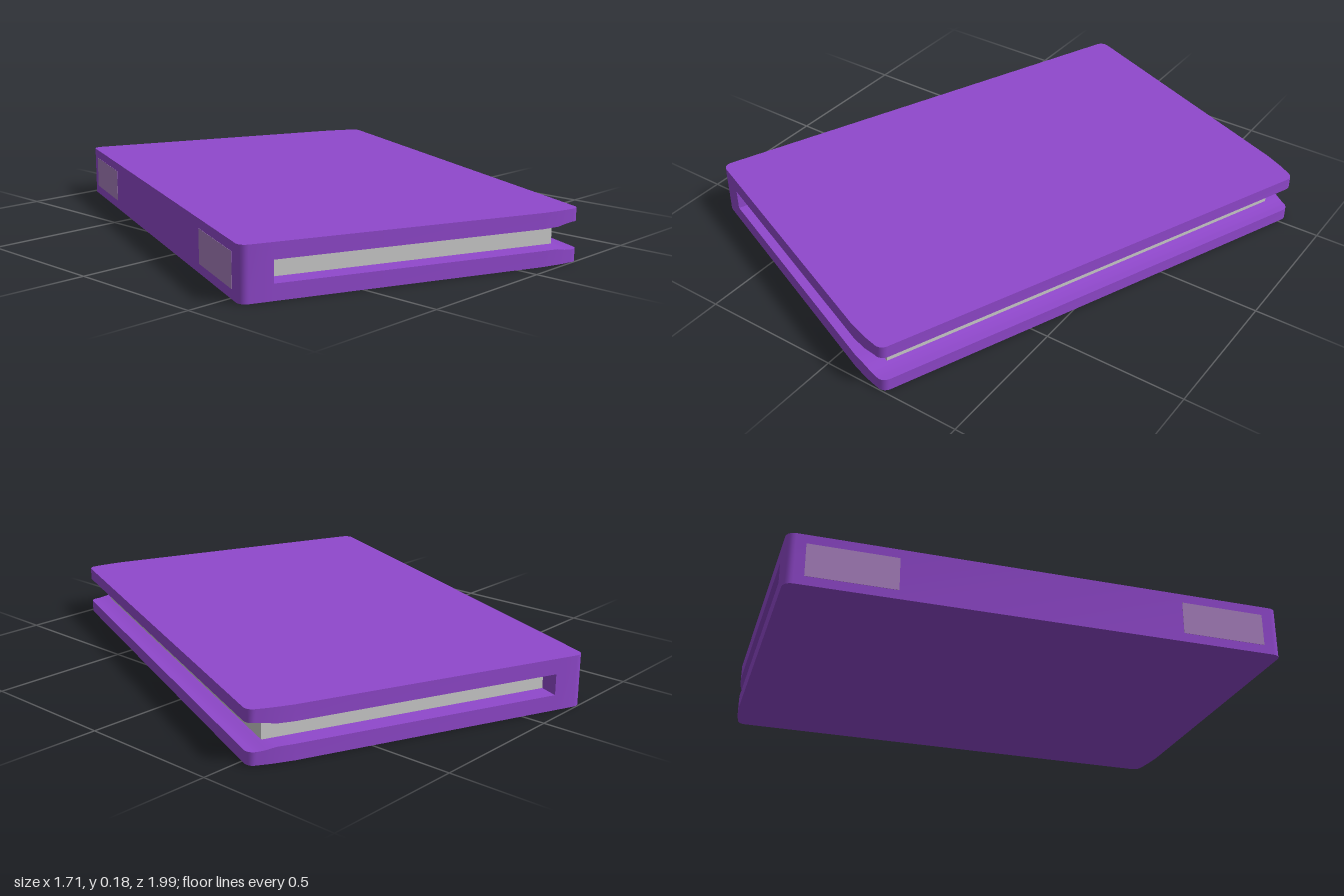
import * as THREE from 'three';
import { toCreasedNormals } from 'three/addons/utils/BufferGeometryUtils.js';

const A = 0.587;        // half width, spine to fore edge
const B = 0.853;        // half length
const H = 0.178;        // full thickness
const SPINE = -0.48;    // inner wall of the spine
const LOW = 0.053, HIGH = H - LOW; // inner faces of the covers
const R = 0.03;         // corner radius

// Joins rectangular cross-sections { x, h (half length), y0, y1 } along x.
function loft(sections) {
  const rings = sections.map(({ x, h, y0, y1 }) =>
    [[x, y0, -h], [x, y0, h], [x, y1, h], [x, y1, -h]]);
  const pos = [];
  const quad = (a, b, c, d) => { for (const p of [a, b, c, a, c, d]) pos.push(...p); };
  for (let s = 0; s + 1 < rings.length; s++) {
    const p = rings[s], q = rings[s + 1];
    for (let i = 0; i < 4; i++) {
      const j = (i + 1) % 4;
      quad(p[i], q[i], q[j], p[j]);
    }
  }
  quad(...rings[0]);
  quad(...[...rings[rings.length - 1]].reverse());
  const g = new THREE.BufferGeometry();
  g.setAttribute('position', new THREE.Float32BufferAttribute(pos, 3));
  return toCreasedNormals(g, 0.4);
}

// Quarter-round corner stations, from the straight side to the end edge.
function corner(halfLength) {
  return Array.from({ length: 6 }, (_, k) => {
    const t = (k / 5) * Math.PI / 2;
    return { x: A - R + R * Math.sin(t), h: halfLength - R + R * Math.cos(t) };
  });
}

export function createModel() {
  const group = new THREE.Group();
  const book = new THREE.Group();
  book.name = 'book';
  group.add(book);

  const purple = new THREE.MeshStandardMaterial({ color: 0x9048cc });
  const grey = new THREE.MeshStandardMaterial({ color: 0xcccccc });
  const lilac = new THREE.MeshStandardMaterial({ color: 0xa880bf });
  const add = (name, geometry, material) => {
    const mesh = new THREE.Mesh(geometry, material);
    mesh.name = name;
    book.add(mesh);
    return mesh;
  };

  // Spine with rounded corners
  const spine = corner(B).reverse().map(({ x, h }) => ({ x: -x, h }));
  spine.push({ x: SPINE, h: B });
  add('spine', loft(spine.map(s => ({ ...s, y0: 0, y1: H }))), purple);

  // Covers, narrowing and thinning slightly toward the fore edge
  const plan = [
    { x: SPINE, h: B, thin: 0 },
    { x: 0.44, h: B, thin: 0 },
    { x: 0.5, h: B - 0.005, thin: 0.001 },
    { x: 0.53, h: B - 0.009, thin: 0.007 },
    ...corner(B - 0.014).map(s => ({ ...s, thin: 0.01 })),
  ];
  add('bottomCover', loft(plan.map(({ x, h, thin }) => ({ x, h, y0: 0, y1: LOW - thin }))), purple);
  add('topCover', loft(plan.map(({ x, h, thin }) => ({ x, h, y0: HIGH + thin, y1: H }))), purple);

  // Page block
  const pageWidth = 0.52 - SPINE;
  add('pages', new THREE.BoxGeometry(pageWidth, HIGH - LOW, 1.564), grey)
    .position.set(SPINE + pageWidth / 2, H / 2, 0);

  // Pale panels near both ends of the spine
  for (const side of [-1, 1]) {
    add('spinePanel', new THREE.BoxGeometry(0.006, 0.115, 0.3), lilac)
      .position.set(-A + 0.002, H / 2, side * 0.64);
  }

  // Lies turned on the ground, centred
  book.rotation.y = -Math.PI / 8;
  const centre = new THREE.Box3().setFromObject(group, true).getCenter(new THREE.Vector3());
  book.position.set(-centre.x, 0, -centre.z);
  return group;
}
